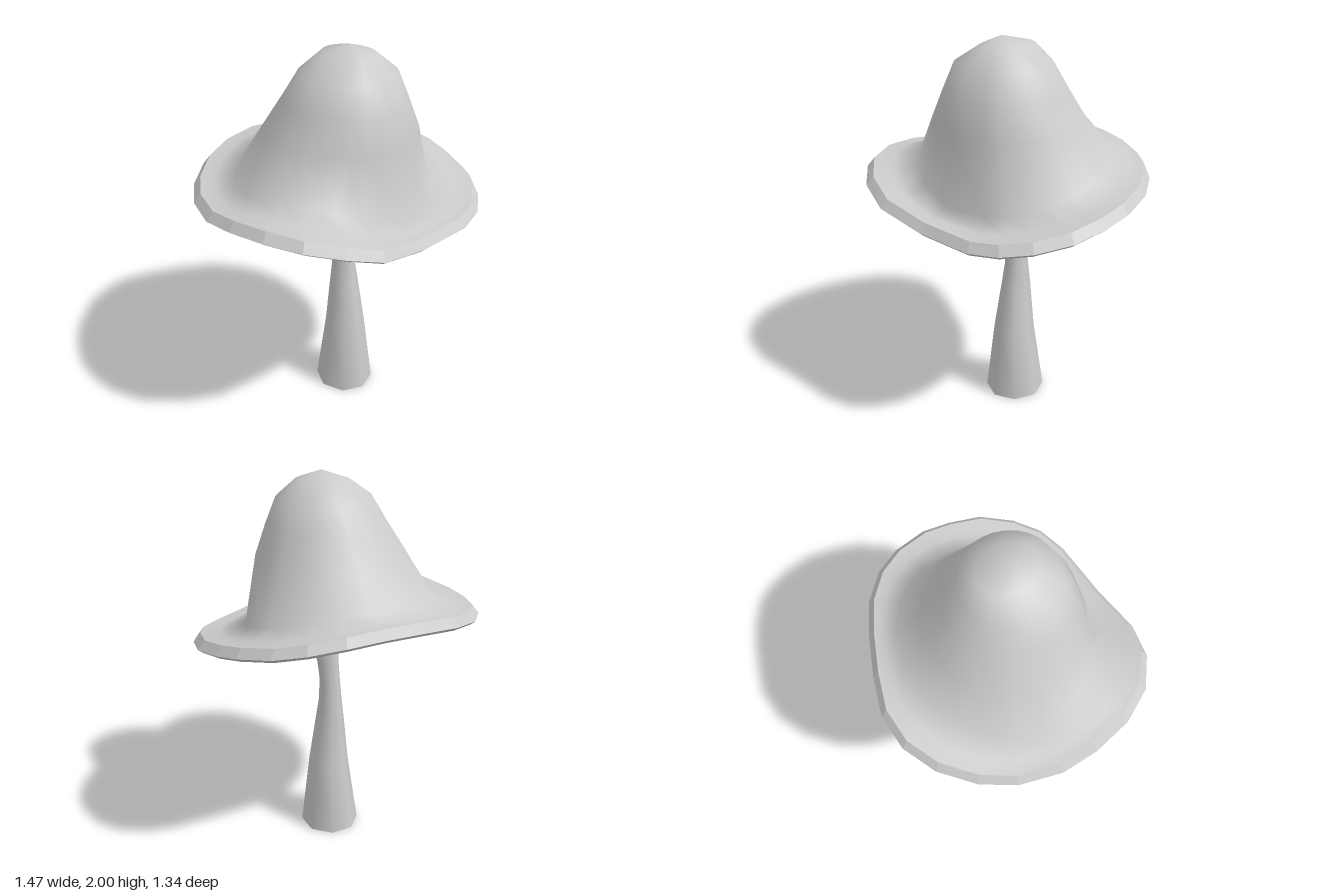
import * as THREE from 'three';
import { mergeVertices } from 'three/addons/utils/BufferGeometryUtils.js';

// Brim outline, clockwise from above: x, y, z
const BRIM = [
  [0.73, 1.28, 0], [0.72, 1.25, 0.15], [0.68, 1.22, 0.32], [0.58, 1.19, 0.47],
  [0.46, 1.17, 0.57], [0.31, 1.155, 0.62], [0, 1.16, 0.64], [-0.27, 1.21, 0.66],
  [-0.45, 1.27, 0.61], [-0.6, 1.305, 0.49], [-0.69, 1.315, 0.32], [-0.73, 1.3, 0.12],
  [-0.73, 1.275, -0.07], [-0.67, 1.27, -0.28], [-0.57, 1.28, -0.44], [-0.42, 1.305, -0.58],
  [-0.25, 1.33, -0.66], [-0.07, 1.355, -0.67], [0.12, 1.37, -0.61], [0.31, 1.375, -0.53],
  [0.48, 1.365, -0.44], [0.61, 1.34, -0.32], [0.69, 1.31, -0.18],
];
const ANGLES = BRIM.map(([x, , z]) => Math.atan2(z, x));

// Crown sections: y, centre x, centre z, radius x, radius z
const CROWN = [
  [2.0, 0.01, 0.1, 0, 0],
  [1.957, 0.025, 0.075, 0.12, 0.148],
  [1.87, 0.008, 0.085, 0.243, 0.24],
  [1.74, 0.005, 0.07, 0.305, 0.31],
  [1.58, 0, 0.043, 0.388, 0.388],
];

// Stem sections from top to base, same layout
const STEM = [
  [1.86, 0.02, 0.1, 0.2, 0.18],
  [1.5, 0.03, 0.1, 0.13, 0.12],
  [1.25, 0.03, 0.086, 0.085, 0.086],
  [1.13, 0.032, 0.072, 0.07, 0.075],
  [1.0, 0.035, 0.045, 0.055, 0.058],
  [0.9, 0.036, 0.032, 0.052, 0.056],
  [0.78, 0.038, 0.028, 0.06, 0.064],
  [0.65, 0.038, 0.033, 0.075, 0.082],
  [0.4, 0.036, 0.045, 0.105, 0.112],
  [0, 0.036, 0.04, 0.157, 0.162],
];

const ellipse = ([y, cx, cz, rx, rz], angles) =>
  angles.map(a => [cx + rx * Math.cos(a), y, cz + rz * Math.sin(a)]);

// Skin closed rings in order; shared corners are smoothed unless flat
function loft(name, rings, flatShading = false) {
  const n = rings[0].length, index = [];
  for (let i = 0; i < rings.length - 1; i++) {
    for (let j = 0; j < n; j++) {
      const k = (j + 1) % n;
      const a = i * n + j, b = i * n + k;
      index.push(a, b, a + n, b, b + n, a + n);
    }
  }
  let geo = new THREE.BufferGeometry();
  geo.setAttribute('position', new THREE.Float32BufferAttribute(rings.flat(2), 3));
  geo.setIndex(index);
  geo = mergeVertices(geo, 1e-4);
  geo.computeVertexNormals();
  const mesh = new THREE.Mesh(geo, new THREE.MeshStandardMaterial({
    color: 0xcccccc, flatShading, side: THREE.DoubleSide,
  }));
  mesh.name = name;
  return mesh;
}

// Brim ring scaled by s and raised by dy
const brimRing = (s, dy) => BRIM.map(([x, y, z]) => [x * s, y + dy, z * s]);

export function createModel() {
  const model = new THREE.Group();
  model.name = 'mushroom';

  // Where the crown meets the tilted brim, then a soft flare onto it
  const crownBase = ANGLES.map((a, j) =>
    [-0.01 + 0.515 * Math.cos(a), BRIM[j][1] + 0.065, 0.465 * Math.sin(a)]);
  const flare = crownBase.map((p, j) =>
    p.map((v, c) => v * 0.5 + BRIM[j][c] * 0.5));
  const lipTop = brimRing(0.955, 0.03);
  const lipBottom = brimRing(0.97, -0.035);
  const outer = [...CROWN.map(s => ellipse(s, ANGLES)), crownBase, flare, lipTop];

  // Hollow underside follows the top at a small distance
  const inner = [
    lipBottom,
    flare.map(([x, y, z]) => [x * 0.97, y - 0.055, z * 0.97]),
    crownBase.map(([x, y, z]) => [x * 0.93, y - 0.05, z * 0.93]),
    ...CROWN.map(([y, cx, cz, rx, rz]) =>
      ellipse([y - 0.05, cx, cz, Math.max(0, rx - 0.04), Math.max(0, rz - 0.04)], ANGLES)).reverse(),
  ];

  const cap = new THREE.Group();
  cap.name = 'cap';
  cap.add(
    loft('capTop', outer),
    loft('brimEdge', [lipTop, brimRing(1.005, -0.015), lipBottom], true),
    loft('capUnderside', inner),
  );

  // Eight-sided curved stem with a flat foot
  const sides = Array.from({ length: 8 }, (_, i) => i * Math.PI / 4);
  const rings = STEM.map(s => ellipse(s, sides));
  const foot = rings[rings.length - 1];
  model.add(cap, loft('stem', rings),
    loft('stemFoot', [foot, foot.map(() => [0.036, 0, 0.04])], true));
  return model;
}
